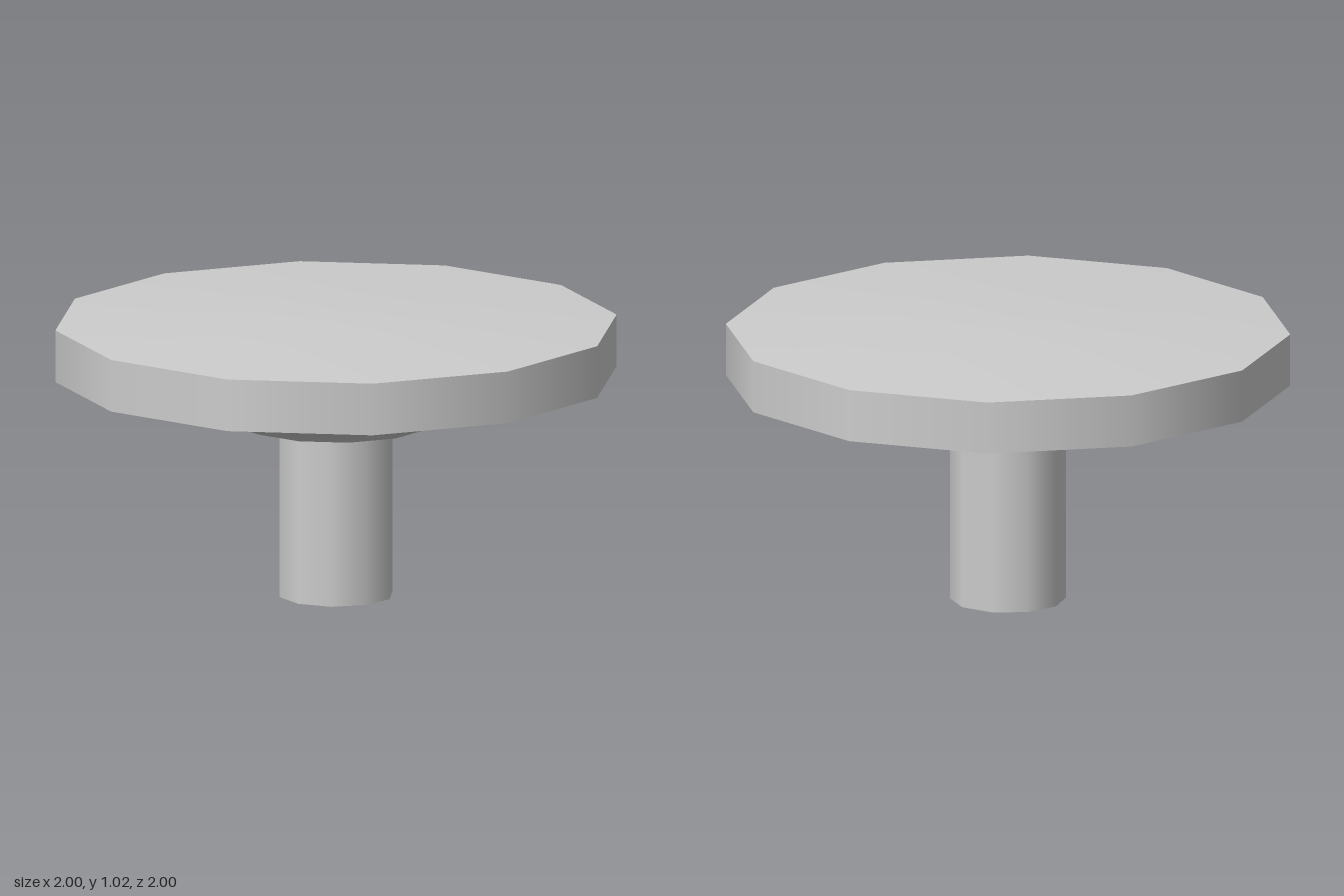
import * as THREE from 'three';

export function createModel() {
  const model = new THREE.Group();
  const grey = new THREE.MeshStandardMaterial({ color: 0xcccccc });
  grey.name = 'light grey';

  // Each profile runs from bottom to top so its faces point outward;
  // separate profiles keep the edges between them sharp.
  function addTurned(name, sides, profile, turn = 0) {
    const points = profile.map(([r, y]) => new THREE.Vector2(r, y));
    const mesh = new THREE.Mesh(new THREE.LatheGeometry(points, sides, turn), grey);
    mesh.name = name;
    model.add(mesh);
  }

  // Twelve-sided head
  addTurned('headBase', 12, [[0, 0.625], [0.345, 0.625]]);
  addTurned('headUnderside', 12, [[0.345, 0.625], [0.52, 0.695], [1, 0.797]]);
  addTurned('headRim', 12, [[1, 0.797], [1, 0.984]]);
  addTurned('headTop', 12, [[1, 0.984], [0.38, 1.017], [0, 1.019]]);

  // Ten-sided stem with a corner on the x axis
  const stem = new THREE.Mesh(
    new THREE.CylinderGeometry(0.205, 0.205, 0.63, 10, 1, false, Math.PI / 2), grey);
  stem.name = 'stem';
  stem.position.y = 0.315;
  model.add(stem);

  return model;
}
